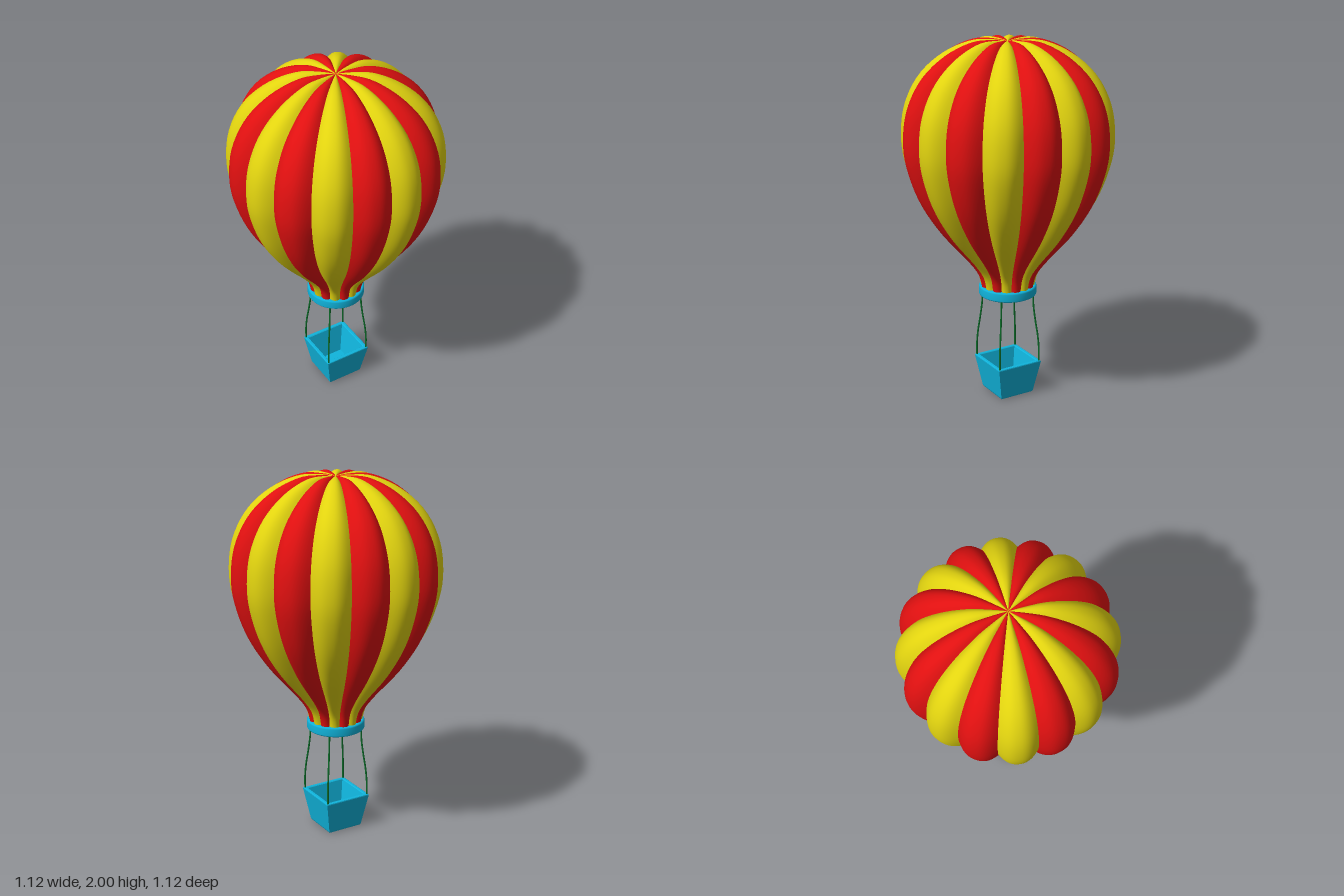
import * as THREE from 'three';

const GORES = 16;

const red = new THREE.MeshStandardMaterial({ color: 0xe01010, side: THREE.DoubleSide });
red.name = 'red fabric';
const yellow = new THREE.MeshStandardMaterial({ color: 0xe2d40f, side: THREE.DoubleSide });
yellow.name = 'yellow fabric';
const blue = new THREE.MeshStandardMaterial({ color: 0x10b4dc });
blue.name = 'blue';
const green = new THREE.MeshStandardMaterial({ color: 0x0a6a28 });
green.name = 'green rope';

const v2 = ([x, y]) => new THREE.Vector2(x, y);

function addMesh(parent, name, geometry, material) {
  const mesh = new THREE.Mesh(geometry, material);
  mesh.name = name;
  parent.add(mesh);
  return mesh;
}

// Seam profile of the envelope, from the mouth to the crown: [radius, height]
const seam = new THREE.SplineCurve([
  [0.135, 0.61], [0.138, 0.66], [0.158, 0.73], [0.215, 0.82], [0.35, 1.0], [0.45, 1.18],
  [0.507, 1.36], [0.52, 1.5], [0.498, 1.65], [0.43, 1.79], [0.32, 1.9], [0.19, 1.971],
  [0.08, 1.989], [0, 1.99],
].map(v2));

// One fabric panel between two seams, puffed out along the profile normal
function goreGeometry(a0, a1) {
  const across = 14, along = 56;
  const mid = (a0 + a1) / 2;
  const positions = [], index = [];
  for (let j = 0; j <= along; j++) {
    const p = seam.getPoint(j / along);
    const t = seam.getTangent(j / along);
    const r = j === along ? 0 : p.x;
    for (let i = 0; i <= across; i++) {
      const u = i / across;
      const puff = 0.115 * r * (1 - Math.abs(2 * u - 1) ** 2.4);
      const out = puff * t.y;
      positions.push(
        r * THREE.MathUtils.lerp(Math.cos(a0), Math.cos(a1), u) + out * Math.cos(mid),
        p.y - puff * t.x,
        r * THREE.MathUtils.lerp(Math.sin(a0), Math.sin(a1), u) + out * Math.sin(mid),
      );
      if (i < across && j < along) {
        const a = j * (across + 1) + i, c = a + across + 1;
        index.push(a, c, a + 1);
        if (j < along - 1) index.push(a + 1, c, c + 1);
      }
    }
  }
  const geometry = new THREE.BufferGeometry();
  geometry.setAttribute('position', new THREE.Float32BufferAttribute(positions, 3));
  geometry.setIndex(index);
  geometry.computeVertexNormals();
  return geometry;
}

// Lathe with hard edges
function facetedLathe(points, segments, phiStart = 0) {
  const geometry = new THREE.LatheGeometry(points, segments, phiStart).toNonIndexed();
  geometry.computeVertexNormals();
  return geometry;
}

export function createModel() {
  const model = new THREE.Group();
  model.name = 'hotAirBalloon';

  // Striped envelope
  const envelope = new THREE.Group();
  envelope.name = 'envelope';
  model.add(envelope);
  const step = (Math.PI * 2) / GORES;
  for (let i = 0; i < GORES; i++) {
    addMesh(envelope, `gore${i + 1}`, goreGeometry(i * step, (i + 1) * step), i % 2 ? yellow : red);
  }

  // Mouth ring with softened edges
  const ringProfile = [
    [0.128, 0.596], [0.134, 0.59], [0.152, 0.59], [0.157, 0.593], [0.16, 0.599], [0.16, 0.636],
    [0.157, 0.642], [0.152, 0.645], [0.134, 0.645], [0.128, 0.639], [0.128, 0.596],
  ].map(v2);
  addMesh(model, 'mouthRing', new THREE.LatheGeometry(ringProfile, 64), blue);

  // Square hollow basket, given as half widths: [half width, height]
  const basketProfile = [
    [0, 0], [0.094, 0], [0.1, 0.003], [0.104, 0.011], [0.136, 0.193], [0.135, 0.198], [0.131, 0.2],
    [0.119, 0.2], [0.115, 0.196], [0.086, 0.025], [0, 0.025],
  ].map(([w, y]) => new THREE.Vector2(w * Math.SQRT2, y));
  addMesh(model, 'basket', facetedLathe(basketProfile, 4, Math.PI / 4), blue);

  // Four gently curved ropes from the ring to the basket corners
  for (const sx of [1, -1]) {
    for (const sz of [1, -1]) {
      const path = new THREE.CatmullRomCurve3([
        [0.102, 0.61], [0.104, 0.53], [0.112, 0.44], [0.122, 0.35], [0.127, 0.27], [0.127, 0.185],
      ].map(([d, y]) => new THREE.Vector3(sx * d, y, sz * d)));
      addMesh(model, 'rope', new THREE.TubeGeometry(path, 24, 0.005, 8), green);
    }
  }

  return model;
}
